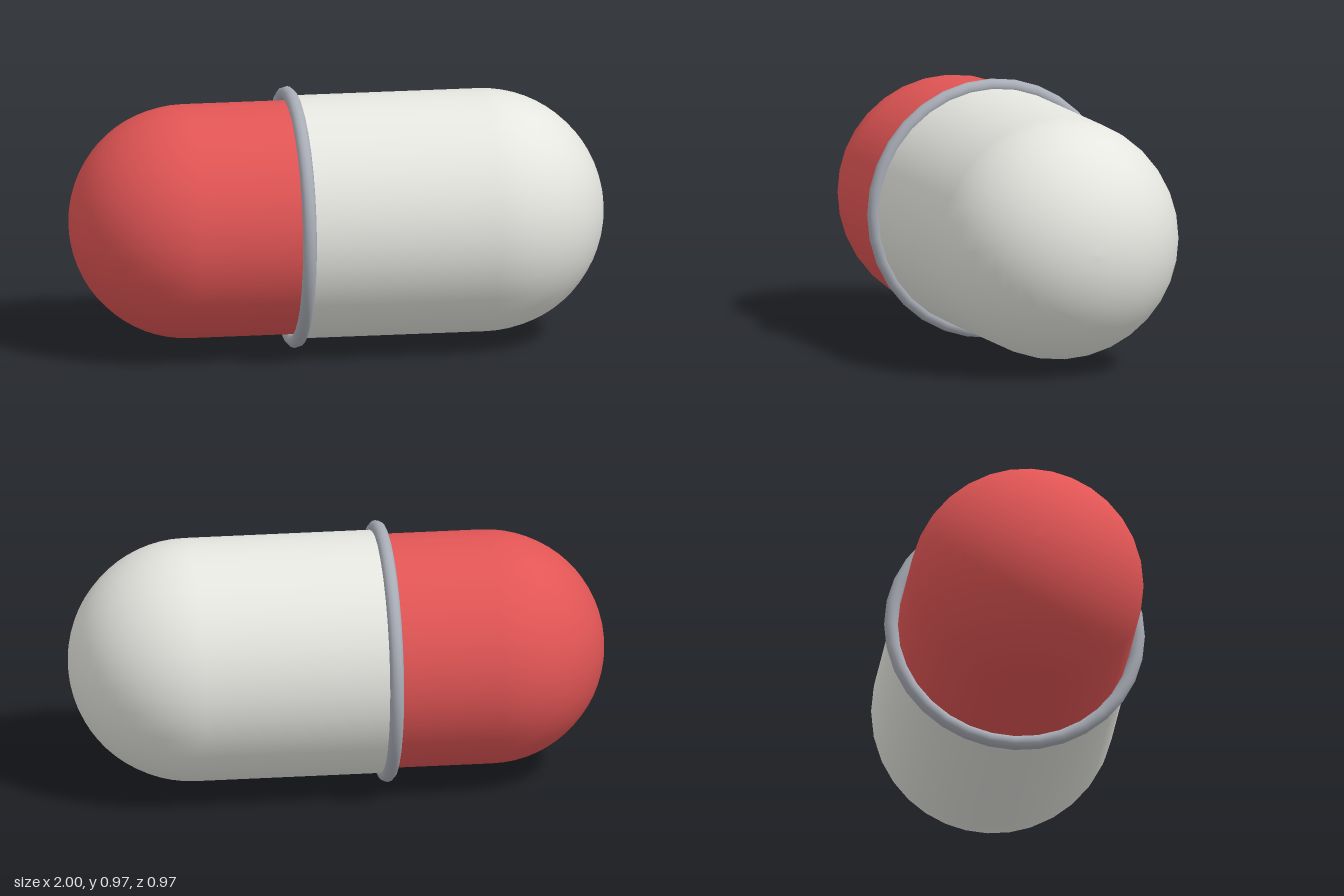
import * as THREE from 'three';

const SEGMENTS = 32;
const AXIS_Y = 0.487; // height of the capsule's long axis
const SEAM_X = -0.17;

function material(name, color) {
  const m = new THREE.MeshStandardMaterial({ color });
  m.name = name;
  return m;
}

// Half capsule along x: straight wall from the seam, then a domed end.
// side is +1 for the +x end and -1 for the -x end.
function halfCapsule(name, radius, tip, side, mat) {
  const domeX = tip - radius;
  const points = [new THREE.Vector2(radius, SEAM_X * side)];
  const steps = 16;
  for (let i = 0; i <= steps; i++) {
    const a = (i / steps) * Math.PI / 2;
    points.push(new THREE.Vector2(
      i === steps ? 0 : radius * Math.cos(a),
      domeX + radius * Math.sin(a)
    ));
  }
  const geometry = new THREE.LatheGeometry(points, SEGMENTS);
  geometry.rotateZ(-side * Math.PI / 2);
  const mesh = new THREE.Mesh(geometry, mat);
  mesh.name = name;
  mesh.position.y = AXIS_Y;
  return mesh;
}

export function createModel() {
  const group = new THREE.Group();
  group.name = 'capsule';

  // Two shells of slightly different radius
  group.add(halfCapsule('whiteShell', 0.452, 1, 1, material('offWhite', 0xe6e6e1)));
  group.add(halfCapsule('redShell', 0.435, 1, -1, material('red', 0xe25555)));

  // Raised band covering the seam
  const band = new THREE.Mesh(
    new THREE.TorusGeometry(0.461, 0.026, 12, SEGMENTS).rotateY(Math.PI / 2),
    material('steelGrey', 0xa9adb6)
  );
  band.name = 'seamBand';
  band.position.set(SEAM_X, AXIS_Y, 0);
  group.add(band);

  return group;
}
